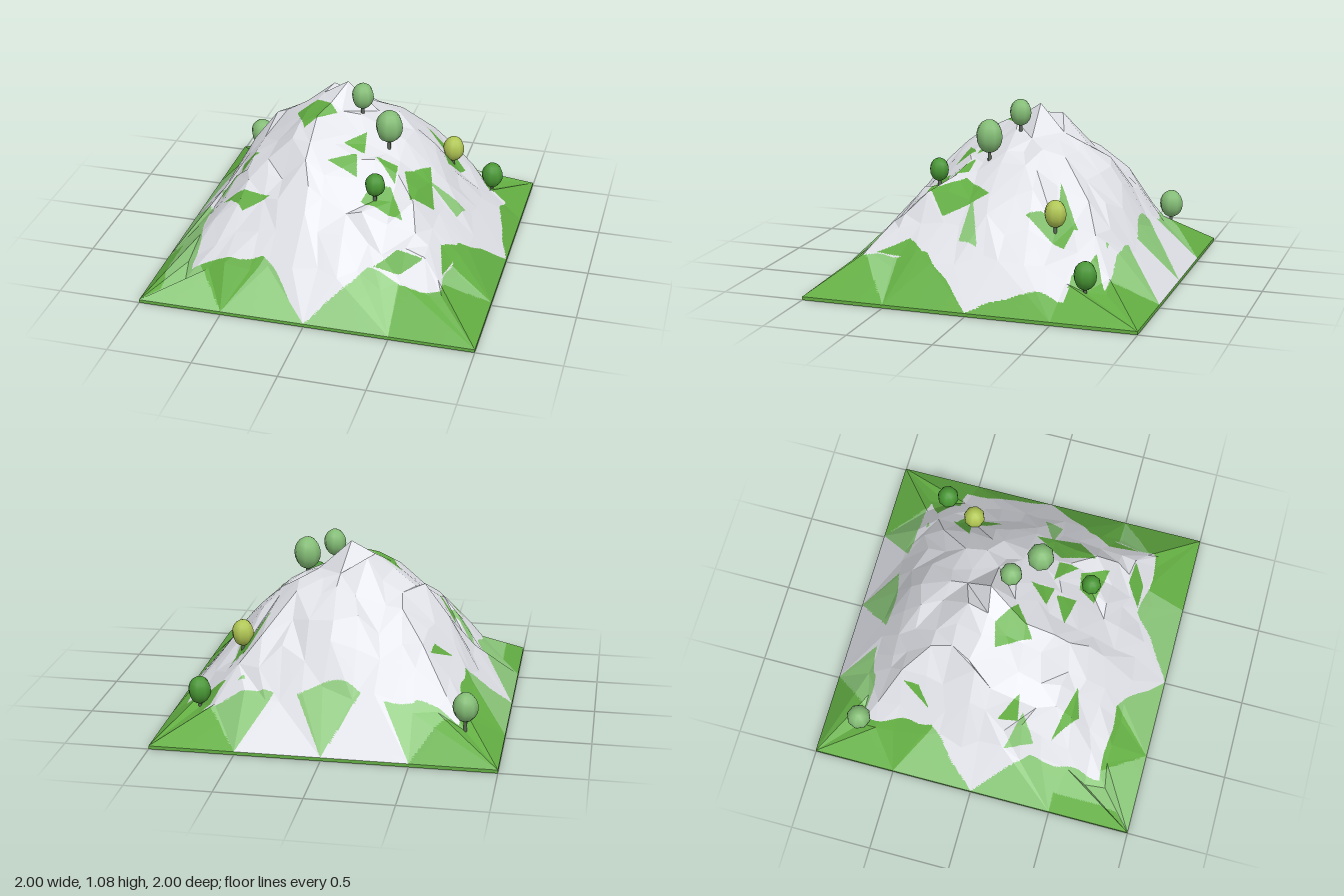
import * as THREE from 'three';

const mat = (name, color, extra = {}) => {
  const m = new THREE.MeshStandardMaterial({ color, ...extra });
  m.name = name;
  return m;
};

// small seeded generator
function seeded(seed) {
  let s = seed;
  return () => {
    s = (s * 16807) % 2147483647;
    return s / 2147483647;
  };
}

const BASE = 0.02;
// distance from the middle -> height
const PROFILE = [[0, 0.95], [0.15, 0.9], [0.3, 0.8], [0.45, 0.69], [0.6, 0.53], [0.75, 0.32], [1, BASE]];
// known ground points: x, z, y
const ANCHORS = [
  [-0.03, -0.12, 1.04], [-0.17, -0.1, 0.96], [-0.25, 0.03, 0.88], [-0.15, 0.3, 0.82], [-0.47, -0.1, 0.79],
  [0.36, 0, 0.75], [0.28, 0.14, 0.72], [0.28, 0.42, 0.56], [0.57, -0.4, 0.43],
  [0.78, -0.64, 0.14], [-0.79, -0.76, 0.14], [0.72, 0.7, 0.25], [-0.78, 0.8, 0.08],
  [0, -0.57, 0.69], [-0.1, -0.4, 0.79], [0.08, 0, 0.89], [-0.1, 0.6, 0.52], [-0.62, 0, 0.54],
];

function slope(x, z) {
  const m = Math.max(Math.abs(x), Math.abs(z));
  const ax = Math.abs(x + 0.03 * (1 - m)), az = Math.abs(z + 0.1 * (1 - m));
  const p = Math.min(1, Math.pow(ax ** 2.5 + az ** 2.5, 0.4));
  const d = Math.min(1, (Math.max(ax, az) + p) / 2);
  for (let i = 1; i < PROFILE.length; i++) {
    const [d0, y0] = PROFILE[i - 1], [d1, y1] = PROFILE[i];
    if (d <= d1) return y0 + (y1 - y0) * (d - d0) / (d1 - d0);
  }
  return BASE;
}

function height(x, z) {
  let sum = 0, total = 0;
  for (const [ax, az, ay] of ANCHORS) {
    const w = Math.exp(-((x - ax) ** 2 + (z - az) ** 2) / 0.018);
    sum += w * (ay - slope(ax, az));
    total += w;
  }
  return slope(x, z) + sum / Math.max(1, total);
}

// grass ledges on the rock, as convex outlines of x, z pairs
const LEDGES = [
  [-0.32, -0.02, -0.2, -0.05, -0.05, 0.05, -0.22, 0.18], [-0.11, -0.52, 0.01, -0.4, -0.06, -0.37],
  [-0.67, -0.34, -0.56, -0.53, -0.57, -0.43], [-0.22, -0.55, -0.13, -0.52, -0.19, -0.49],
  [-0.04, 0.33, 0.12, 0.24, 0.15, 0.36], [0.2, 0.46, 0.24, 0.36, 0.35, 0.34, 0.46, 0.5],
  [0.03, 0.2, 0.14, 0.08, 0.16, 0.22], [0.22, 0.2, 0.36, 0.2, 0.37, 0.32],
  [0.4, 0.2, 0.52, 0.02, 0.6, 0.28, 0.48, 0.4], [0.4, -0.38, 0.55, -0.53, 0.56, -0.41],
  [0.54, -0.51, 0.64, -0.47, 0.58, -0.22, 0.54, -0.3], [0.62, -0.66, 0.76, -0.75, 0.74, -0.6],
  [0.34, 0.72, 0.46, 0.63, 0.62, 0.64, 0.5, 0.72], [-0.64, 0.08, -0.5, 0.18, -0.62, 0.2],
  [-0.66, 0.42, -0.34, 0.5, -0.5, 0.55], [0.68, 0.45, 0.79, 0.3, 0.73, 0.64],
];
const PALE_LEDGES = [
  [0.52, 0.12, 0.74, 0.02, 0.71, 0.14], [0.38, -0.7, 0.55, -0.7, 0.46, -0.66], [-0.76, 0.15, -0.58, 0.22, -0.7, 0.32],
];

function inside(outline, x, z) {
  let left = 0, right = 0;
  const n = outline.length;
  for (let i = 0; i < n; i += 2) {
    const x0 = outline[i], z0 = outline[i + 1];
    const x1 = outline[(i + 2) % n], z1 = outline[(i + 3) % n];
    if ((x1 - x0) * (z - z0) - (z1 - z0) * (x - x0) > 0) left++;
    else right++;
  }
  return left === 0 || right === 0;
}

// surface kinds: 0 rock, 1 meadow, 2 pale meadow
function kind(x, z) {
  const ax = Math.abs(x), az = Math.abs(z);
  const edge = 1 - Math.max(ax, az);
  const t = az > ax ? x : z;
  const wave = 0.015 * Math.sin(13 * x + 5 * z) + 0.01 * Math.sin(23 * z - 9 * x);
  const wedge = (at) => Math.abs(t - at) < 0.8 * edge;
  const back = az > ax && z < 0, front = az > ax && z > 0, right = ax >= az && x > 0;
  if (back && ax < 0.5) {
    // back: grass wedges that point at the edge
    return edge < 0.24 + wave && (wedge(0) || wedge(0.5) || wedge(-0.5)) ? 2 : 0;
  }
  const low = right && z < 0 && z > -0.55;
  const reach = Math.min(low ? 0.11 : 0.25, (low ? 0.4 : 0.8) * Math.abs(t)) + wave * Math.min(1, 4 * Math.abs(t));
  if (edge < reach) {
    if (front) return x > 0.5 || wedge(-0.5) ? 1 : 2;
    if (back) return wedge(Math.sign(x) * 0.5) ? 2 : 1;
    if (right) return z > 0.5 && wedge(0.5) ? 2 : 1;
    return z > 0.3 && edge > 0.1 || az < 0.5 && !wedge(-0.5) ? 2 : 1;
  }
  if (LEDGES.some((o) => inside(o, x, z))) return 1;
  return PALE_LEDGES.some((o) => inside(o, x, z)) ? 2 : 0;
}

// facets: a jittered grid, joined by a rim of long triangles to the edge points
function mountainFacets() {
  const rnd = seeded(90210);
  const N = 12, R = 0.78, grid = [];
  const jit = (a) => (rnd() - 0.5) * 2 * a;
  for (let j = 0; j <= N; j++) {
    grid.push([]);
    for (let i = 0; i <= N; i++) {
      const rim = i === 0 || j === 0 || i === N || j === N;
      const x = -R + (2 * R * i) / N + jit(0.035), z = -R + (2 * R * j) / N + jit(0.035);
      const y = height(x, z) + jit(rim ? 0.02 : 0.028);
      grid[j].push(new THREE.Vector3(x, Math.max(0.05, Math.min(y, 0.98)), z));
    }
  }
  // the nearest grid point moves onto each known ground point
  const cell = (v) => Math.round(((v + R) / (2 * R)) * N);
  for (const [x, z, y] of ANCHORS) grid[cell(z)][cell(x)].set(x, y, z);
  const facets = [];
  for (let j = 0; j < N; j++) {
    for (let i = 0; i < N; i++) {
      const a = grid[j][i], b = grid[j][i + 1], c = grid[j + 1][i + 1], d = grid[j + 1][i];
      if (rnd() > 0.5) facets.push([a, b, c], [a, c, d]);
      else facets.push([a, b, d], [b, c, d]);
    }
  }
  const inner = [], outer = [];
  const ring = (n, visit) => {
    for (let i = 0; i < n; i++) visit(i, 0);
    for (let i = 0; i < n; i++) visit(n, i);
    for (let i = n; i > 0; i--) visit(i, n);
    for (let i = n; i > 0; i--) visit(0, i);
  };
  ring(N, (i, j) => inner.push(grid[j][i]));
  ring(4, (i, j) => outer.push(new THREE.Vector3(i / 2 - 1, BASE, j / 2 - 1)));
  const near = (k) => Math.round(k / 3) % 16;
  for (let k = 0; k < inner.length; k++) {
    const p = inner[k], q = inner[(k + 1) % inner.length];
    const o = near(k), n = near(k + 1);
    facets.push([p, q, outer[o]]);
    if (o !== n) facets.push([q, outer[o], outer[n]]);
  }
  return facets;
}

// facets are cut where grass meets rock, finely along the border only
function mountain(materials) {
  const sets = [[], [], []];
  const paint = (a, b, c, depth) => {
    const mid = kind((a.x + b.x + c.x) / 3, (a.z + b.z + c.z) / 3);
    const plain = [a, b, c].every((p) => kind(p.x, p.z) === mid);
    if (depth === 5 || (plain && depth >= 3)) {
      for (const p of [a, b, c]) sets[mid].push(p.x, p.y, p.z);
      return;
    }
    const ab = a.clone().lerp(b, 0.5), bc = b.clone().lerp(c, 0.5), ca = c.clone().lerp(a, 0.5);
    for (const t of [[a, ab, ca], [ab, b, bc], [ca, bc, c], [ab, bc, ca]]) paint(...t, depth + 1);
  };
  for (const [a, b, c] of mountainFacets()) {
    const up = (b.z - a.z) * (c.x - a.x) - (b.x - a.x) * (c.z - a.z);
    if (up < 0) paint(a, c, b, 0);
    else paint(a, b, c, 0);
  }
  const group = new THREE.Group();
  group.name = 'mountain';
  ['rock', 'meadow', 'paleMeadow'].forEach((name, k) => {
    const g = new THREE.BufferGeometry();
    g.setAttribute('position', new THREE.Float32BufferAttribute(sets[k], 3));
    g.computeVertexNormals();
    const mesh = new THREE.Mesh(g, materials[k]);
    mesh.name = name;
    group.add(mesh);
  });
  return group;
}

function tree(x, y, z, rx, ry, foot, leaf, bark) {
  const group = new THREE.Group();
  group.name = 'tree';
  const crown = new THREE.Mesh(new THREE.SphereGeometry(1, 8, 10), leaf);
  crown.name = 'crown';
  crown.scale.set(rx, ry, rx);
  crown.position.set(x, y, z);
  const len = y - foot;
  const trunk = new THREE.Mesh(new THREE.CylinderGeometry(0.009, 0.012, len, 6), bark);
  trunk.name = 'trunk';
  trunk.position.set(x, foot + len / 2, z);
  group.add(crown, trunk);
  return group;
}

export function createModel() {
  const faceted = { flatShading: true, side: THREE.DoubleSide };
  const rock = mat('rock grey', 0xdfe1e7, faceted);
  const meadow = mat('meadow green', 0x63ae43, faceted);
  const pale = mat('pale meadow green', 0x8bc77a, faceted);
  const leafPale = mat('pale leaf', 0x83bc75);
  const leafDark = mat('dark leaf', 0x489634);
  const leafYellow = mat('yellow leaf', 0xb0c653);
  const bark = mat('bark', 0x5a6656);

  const model = new THREE.Group();
  model.name = 'mountainScene';

  // ground plate
  const plate = new THREE.Mesh(new THREE.BoxGeometry(2, BASE, 2), meadow);
  plate.name = 'groundPlate';
  plate.position.y = BASE / 2;
  model.add(plate, mountain([rock, meadow, pale]));

  // trees: x, crown y, z, crown radii, foot height, leaf colour
  [
    [0.085, 1.0, -0.03, 0.067, 0.08, 0.86, leafPale],
    [0.28, 0.885, 0.1, 0.082, 0.1, 0.7, leafPale],
    [0.275, 0.66, 0.42, 0.06, 0.07, 0.54, leafDark],
    [0.575, 0.525, -0.4, 0.066, 0.08, 0.4, leafYellow],
    [0.785, 0.24, -0.64, 0.068, 0.083, 0.1, leafDark],
    [-0.79, 0.285, -0.76, 0.074, 0.087, 0.1, leafPale],
  ].forEach((t) => model.add(tree(...t, bark)));
  return model;
}
